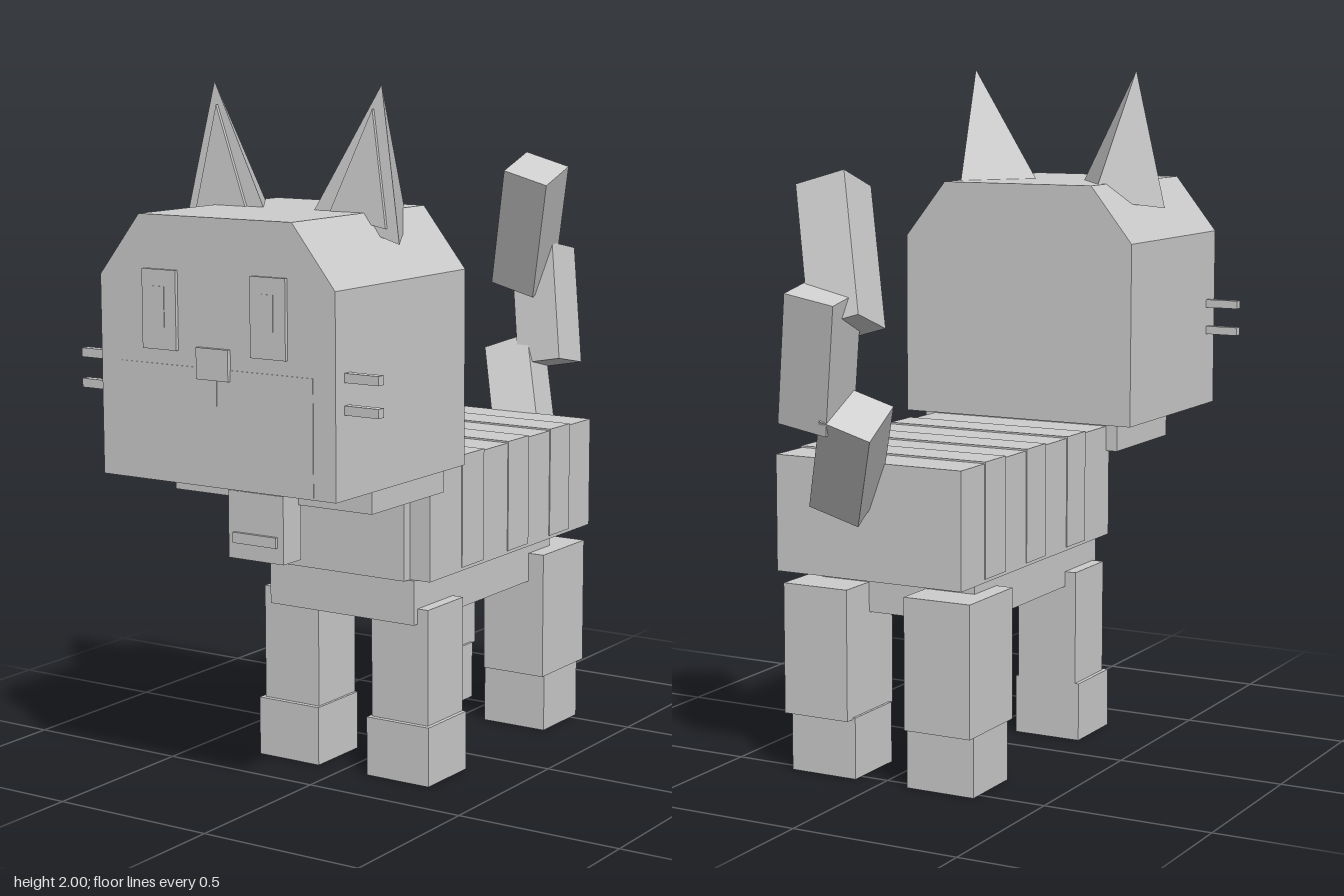
import * as THREE from 'three';
import { ConvexGeometry } from 'three/addons/geometries/ConvexGeometry.js';

export function createModel() {
  const model = new THREE.Group();
  model.name = 'blockCat';
  const grey = new THREE.MeshStandardMaterial({ color: 0xcccccc, flatShading: true });
  grey.name = 'light grey';

  const add = (name, geometry) => {
    const mesh = new THREE.Mesh(geometry, grey);
    mesh.name = name;
    model.add(mesh);
    return mesh;
  };
  // Box given by its limits on each axis
  const box = (name, x0, x1, y0, y1, z0, z1) => {
    const mesh = add(name, new THREE.BoxGeometry(x1 - x0, y1 - y0, z1 - z0));
    mesh.position.set((x0 + x1) / 2, (y0 + y1) / 2, (z0 + z1) / 2);
    return mesh;
  };
  // Matching boxes on both sides
  const pair = (name, x0, x1, ...rest) => {
    box(name + 'Left', x0, x1, ...rest);
    box(name + 'Right', -x1, -x0, ...rest);
  };
  const hull = (name, points) =>
    add(name, new ConvexGeometry(points.map((p) => new THREE.Vector3(...p))));

  // Head with bevelled upper edges
  const outline = new THREE.Shape([
    [-0.385, 0.94], [0.385, 0.94], [0.385, 1.49], [0.25, 1.66], [-0.25, 1.66], [-0.385, 1.49],
  ].map(([x, y]) => new THREE.Vector2(x, y)));
  const headGeometry = new THREE.ExtrudeGeometry(outline, { depth: 0.635, bevelEnabled: false });
  add('head', headGeometry).position.z = 0.29;

  // Face
  box('muzzle', -0.315, 0.315, 0.945, 1.26, 0.924, 0.927);
  box('nose', -0.055, 0.05, 1.23, 1.315, 0.925, 0.937);
  box('mouth', -0.006, 0.006, 1.16, 1.23, 0.926, 0.929);
  pair('eye', 0.122, 0.235, 1.3, 1.515, 0.925, 0.935);
  pair('pupil', 0.16, 0.197, 1.36, 1.47, 0.933, 0.937);
  for (const y of [1.165, 1.25]) pair('whisker', 0.38, 0.49, y, y + 0.025, 0.86, 0.885);

  // Ears with inner panels
  for (const s of [-1, 1]) {
    hull('ear', [
      [s * 0.36, 1.58, 0.585], [s * 0.085, 1.66, 0.585],
      [s * 0.23, 1.615, 0.345], [s * 0.278, 2, 0.545],
    ]);
    const panel = [
      [s * 0.32, 1.62, 0.583], [s * 0.14, 1.655, 0.585], [s * 0.26, 1.935, 0.555],
    ];
    hull('innerEar', [...panel, ...panel.map(([x, y, z]) => [x, y, z + 0.009])]);
  }

  // Collar and tag
  box('collar', -0.333, 0.33, 0.86, 0.94, 0.31, 0.675);
  box('tagLoop', -0.04, 0.04, 0.89, 0.94, 0.66, 0.73);
  box('tag', -0.095, 0.09, 0.705, 0.895, 0.665, 0.748);
  box('tagBar', -0.075, 0.07, 0.75, 0.78, 0.748, 0.757);

  // Body, chest, belly and raised bands
  box('body', -0.297, 0.297, 0.6, 0.935, -0.605, 0.33);
  box('chest', -0.23, 0.23, 0.6, 0.86, 0.33, 0.36);
  box('belly', -0.25, 0.25, 0.47, 0.6, -0.44, 0.34);
  for (const z of [-0.47, -0.22, 0.04]) box('bodyBand', -0.3, 0.3, 0.61, 0.94, z, z + 0.12);

  // Legs and paws
  pair('frontLeg', 0.093, 0.285, 0.17, 0.515, 0.13, 0.32);
  pair('frontPaw', 0.085, 0.297, 0, 0.175, 0.13, 0.335);
  pair('backLeg', 0.093, 0.302, 0.175, 0.557, -0.565, -0.31);
  pair('backPaw', 0.085, 0.297, 0, 0.18, -0.535, -0.33);

  // Tail of three tilted blocks
  const tail = [
    [[0.06, 0.83, -0.62], [-0.08, 1.1, -0.79]],
    [[0.05, 1.07, -0.785], [-0.02, 1.43, -0.857]],
    [[-0.06, 1.33, -0.8], [0.063, 1.7, -0.665]],
  ];
  for (const [from, to] of tail) {
    const a = new THREE.Vector3(...from), b = new THREE.Vector3(...to);
    const up = b.clone().sub(a);
    const segment = add('tailSegment', new THREE.BoxGeometry(0.15, up.length(), 0.15));
    up.normalize();
    const front = new THREE.Vector3(1, 0, 0).cross(up).normalize();
    const side = up.clone().cross(front);
    segment.quaternion.setFromRotationMatrix(new THREE.Matrix4().makeBasis(side, up, front));
    segment.position.copy(a).lerp(b, 0.5);
  }
  return model;
}
